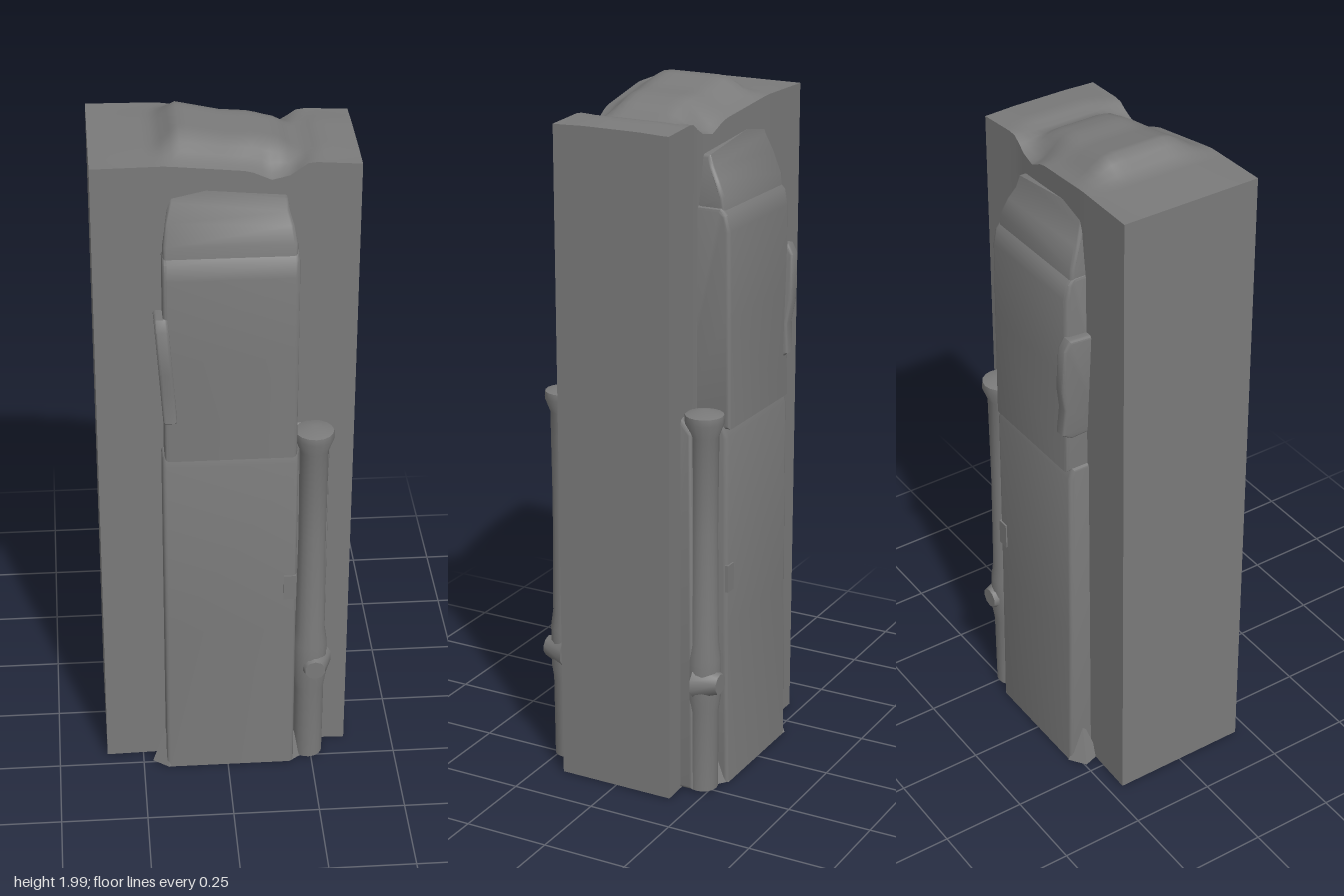
import * as THREE from 'three';
import { toCreasedNormals } from 'three/addons/utils/BufferGeometryUtils.js';

const material = new THREE.MeshStandardMaterial({ color: 0x7a7a7a });

function part(name, geometry, parent, crease = 0.6) {
  const mesh = new THREE.Mesh(toCreasedNormals(geometry, crease), material);
  mesh.name = name;
  parent.add(mesh);
}

// Linear interpolation through [position, value] pairs
function along(points, x) {
  for (let i = 1; i < points.length; i++) {
    const [x0, v0] = points[i - 1], [x1, v1] = points[i];
    if (x <= x1) return THREE.MathUtils.mapLinear(Math.max(x, x0), x0, x1, v0, v1);
  }
  return points[points.length - 1][1];
}

// Moves every vertex by a rule that edits a Vector3
function reshape(geometry, rule) {
  const p = geometry.attributes.position, v = new THREE.Vector3();
  for (let i = 0; i < p.count; i++) {
    rule(v.fromBufferAttribute(p, i));
    p.setXYZ(i, v.x, v.y, v.z);
  }
  return geometry;
}

// Tall block: deeper at its right, with an uneven, worn top
function bodyGeometry() {
  const depth = [[-0.36, 0.208], [-0.16, 0.203], [0.05, 0.185], [0.2, 0.17], [0.36, 0.175]];
  const ridge = [[-0.36, 1.945], [-0.18, 1.95], [-0.125, 1.998], [0, 1.972], [0.08, 1.968], [0.15, 1.95],
    [0.2, 1.915], [0.25, 1.935], [0.36, 1.925]];
  const rim = [[-0.36, 1.945], [-0.16, 1.945], [-0.05, 1.93], [0.06, 1.915], [0.12, 1.885], [0.17, 1.895],
    [0.22, 1.93], [0.36, 1.922]];
  return reshape(new THREE.BoxGeometry(0.715, 1, 1, 30, 1, 16), (v) => {
    const blend = THREE.MathUtils.smoothstep(Math.abs(v.z) * 2, 0.4, 1);
    v.y = v.y > 0 ? THREE.MathUtils.lerp(along(ridge, v.x), along(rim, v.x), blend) : 0.012;
    v.z *= 2 * along(depth, v.x);
  });
}

// Side profile of [z, y] points swept between two x positions, with softened edges
function sweep(profile, x0, x1, bevel = 0.012) {
  const shape = new THREE.Shape(profile.map(([z, y]) => new THREE.Vector2(z, y)));
  const geometry = new THREE.ExtrudeGeometry(shape, {
    depth: x1 - x0 - 2 * bevel, bevelThickness: bevel, bevelSize: bevel, bevelOffset: -bevel, bevelSegments: 3,
  });
  return geometry.rotateY(-Math.PI / 2).translate(x1 - bevel, 0, 0);
}

// Everything attached to one broad face
function createFace(name) {
  const face = new THREE.Group();
  face.name = name;

  part('lowerPanel', sweep([[0.1, 0.01], [0.276, 0.01], [0.27, 0.5], [0.266, 1.06], [0.255, 1.095], [0.1, 1.095]],
    -0.182, 0.195), face);
  part('upperPanel', sweep([[0.1, 1.07], [0.272, 1.085], [0.27, 1.4], [0.267, 1.64], [0.258, 1.685],
    [0.24, 1.705], [0.1, 1.705]], -0.175, 0.19), face);

  // Sloping shoulder behind the panel's top edge, lower and slightly narrower at the left
  const shoulder = sweep([[0.1, 1.66], [0.25, 1.66], [0.246, 1.73], [0.225, 1.79], [0.205, 1.84], [0.194, 1.88],
    [0.1, 1.88]], -0.172, 0.185, 0.01);
  part('shoulder', reshape(shoulder, (v) => {
    const rise = THREE.MathUtils.smoothstep(v.y, 1.72, 1.88);
    if (v.x > 0) v.y -= 0.04 * rise;
    v.x *= 1 - 0.12 * rise;
  }), face, 0.9);

  // Narrow raised grip beside the upper panel, leaning inward towards its foot
  const grip = sweep([[0.15, 1.2], [0.255, 1.195], [0.283, 1.215], [0.278, 1.3], [0.289, 1.37],
    [0.287, 1.5], [0.27, 1.53], [0.15, 1.52]], -0.2, -0.162, 0.008);
  part('sideGrip', reshape(grip, (v) => { v.x += (1.53 - v.y) * 0.07; }), face);

  // Upright pipe with collar, flared cap and round knob
  const pipeProfile = [[0, 0.015], [0.043, 0.015], [0.044, 0.26], [0.05, 0.3], [0.05, 0.42], [0.043, 0.47],
    [0.039, 0.8], [0.041, 1.08], [0.056, 1.12], [0.054, 1.14], [0, 1.155]];
  part('pipe', new THREE.LatheGeometry(pipeProfile.map(([r, y]) => new THREE.Vector2(r, y)), 16)
    .translate(0.242, 0, 0.222), face, 0.8);
  part('pipeBacking', sweep([[0.1, 0.015], [0.212, 0.015], [0.205, 1.09], [0.17, 1.135], [0.1, 1.135]],
    0.18, 0.288, 0.01), face);
  part('pipeKnob', new THREE.CylinderGeometry(0.03, 0.055, 0.07, 10).rotateX(Math.PI / 2)
    .translate(0.254, 0.35, 0.247), face);
  part('latch', new THREE.BoxGeometry(0.035, 0.08, 0.03).translate(0.176, 0.645, 0.258), face);

  // Tapered flares at the panel's lower corners
  part('rightFoot', new THREE.ConeGeometry(0.05, 0.13, 5).translate(-0.175, 0.077, 0.23), face);
  part('leftFoot', new THREE.ConeGeometry(0.045, 0.12, 5).translate(0.185, 0.072, 0.232), face);
  return face;
}

export function createModel() {
  const model = new THREE.Group();
  model.name = 'tallCabinet';
  part('body', bodyGeometry(), model, 0.9);
  const front = createFace('frontFace');
  const back = createFace('backFace');
  back.scale.z = -1;
  model.add(front, back);
  return model;
}
